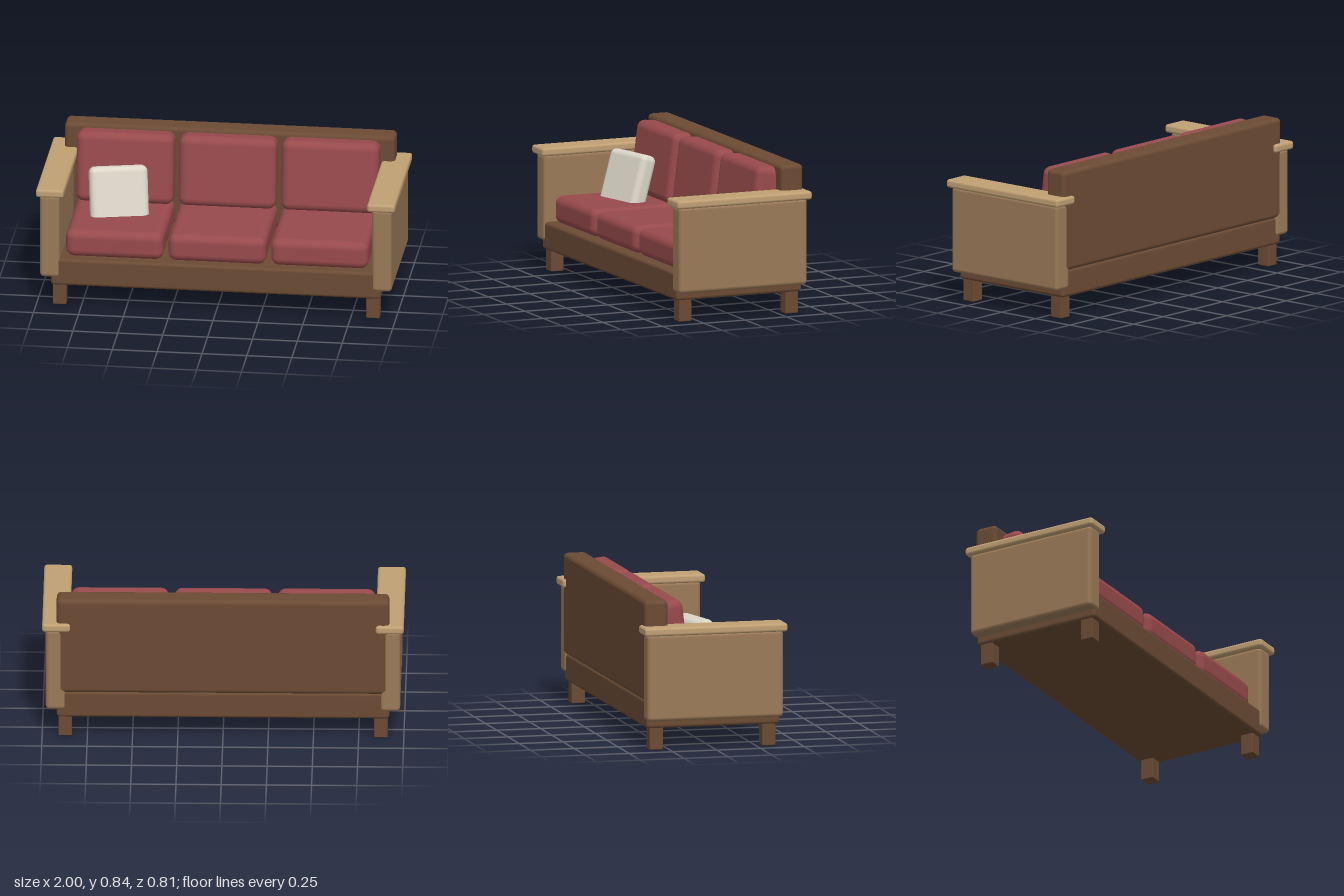
import * as THREE from 'three';
import { RoundedBoxGeometry } from 'three/addons/geometries/RoundedBoxGeometry.js';

function material(name, color) {
  const m = new THREE.MeshStandardMaterial({ color });
  m.name = name;
  return m;
}

export function createModel() {
  const sofa = new THREE.Group();
  sofa.name = 'sofa';

  const darkWood = material('dark wood', 0x6b4b34);
  const panelWood = material('panel wood', 0x9a7a58);
  const lightWood = material('light wood', 0xc0a074);
  const redFabric = material('red fabric', 0x984a4c);
  const creamFabric = material('cream fabric', 0xdcd6c8);

  // Rounded block given by size and centre
  function block(name, mat, [w, h, d], [x, y, z], radius, segments = 2) {
    const mesh = new THREE.Mesh(new RoundedBoxGeometry(w, h, d, segments, radius), mat);
    mesh.name = name;
    mesh.position.set(x, y, z);
    sofa.add(mesh);
    return mesh;
  }

  // Frame
  block('base', darkWood, [1.84, 0.155, 0.76], [0, 0.198, 0], 0.018);
  block('backrest', darkWood, [1.84, 0.565, 0.134], [0, 0.553, -0.322], 0.026);

  // Arms and legs, mirrored
  for (const side of [-1, 1]) {
    block('armPanel', panelWood, [0.11, 0.485, 0.776], [side * 0.925, 0.41, 0], 0.022);
    block('armRest', lightWood, [0.155, 0.047, 0.815], [side * 0.9225, 0.67, 0], 0.015);
    for (const end of [-1, 1]) {
      block('leg', darkWood, [0.075, 0.135, 0.077], [side * 0.873, 0.0675, end * 0.321], 0.006);
    }
  }

  // Seat and back cushions
  for (const i of [-1, 0, 1]) {
    const x = i * 0.571;
    block('seatCushion', redFabric, [0.542, 0.155, 0.595], [x, 0.353, 0.048], 0.045, 3);
    const back = block('backCushion', redFabric, [0.542, 0.4, 0.16], [x, 0.618, -0.207], 0.045, 3);
    back.rotation.x = -0.12;
  }

  // Loose pillow, turned and leaning back, sunk into the seat
  const pillow = block('pillow', creamFabric, [0.325, 0.32, 0.1], [-0.585, 0.53, 0.01], 0.035, 3);
  pillow.rotation.set(-0.3, 0.23, 0, 'YXZ');

  return sofa;
}
